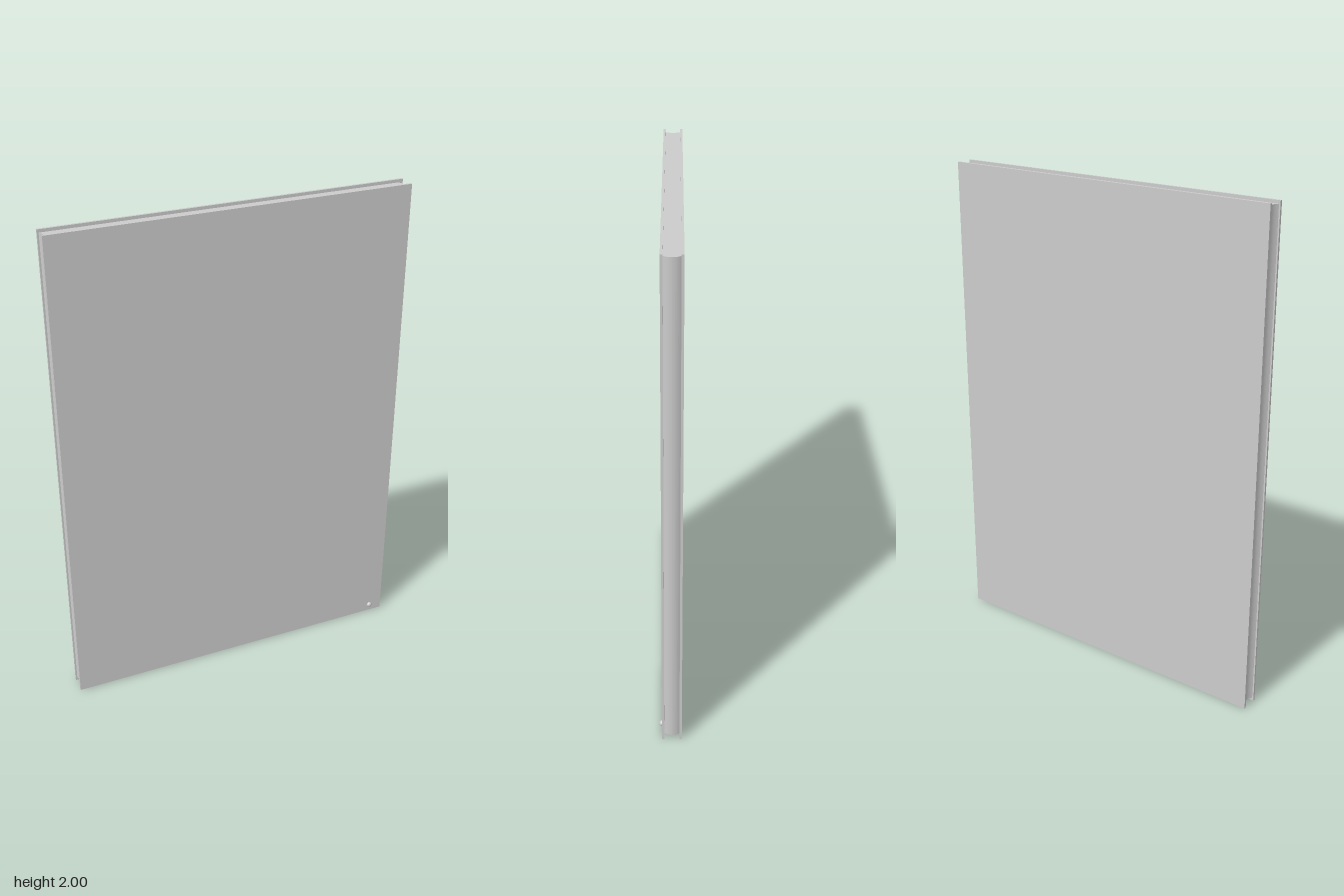
import * as THREE from 'three';

const HALF_W = 0.717, HEIGHT = 2, PLATE = 0.009;
const BACK = -0.044, FRONT = 0.033;

export function createModel() {
  const group = new THREE.Group();
  const material = new THREE.MeshStandardMaterial({ color: 0xcccccc });
  const add = (name, geometry, x, y, z) => {
    const mesh = new THREE.Mesh(geometry, material);
    mesh.name = name;
    mesh.position.set(x, y, z);
    group.add(mesh);
  };

  // Two thin outer boards
  const board = new THREE.BoxGeometry(HALF_W * 2, HEIGHT, PLATE);
  add('frontBoard', board, 0, HEIGHT / 2, FRONT - PLATE / 2);
  add('backBoard', board, 0, HEIGHT / 2, BACK + PLATE / 2);

  // Recessed core: hollow on the -x edge, bulging on the +x edge
  const z0 = BACK + PLATE, z1 = FRONT - PLATE, mid = (z0 + z1) / 2;
  const inset = 0.012, bow = 0.02;
  const section = new THREE.Shape();
  section.moveTo(-0.711, -z1);
  section.lineTo(0.697, -z1);
  section.quadraticCurveTo(0.697 + bow, -mid, 0.697, -z0);
  section.lineTo(-0.711, -z0);
  section.quadraticCurveTo(-0.711 + bow, -mid, -0.711, -z1);
  const core = new THREE.ExtrudeGeometry(section, {
    depth: HEIGHT - inset * 2, bevelEnabled: false, curveSegments: 12,
  });
  core.rotateX(-Math.PI / 2);
  add('core', core, 0, inset, 0);

  // Small round stud in the lower corner of the front board
  add('stud', new THREE.SphereGeometry(0.012, 24, 16), 0.66, 0.03, FRONT - 0.001);

  return group;
}
